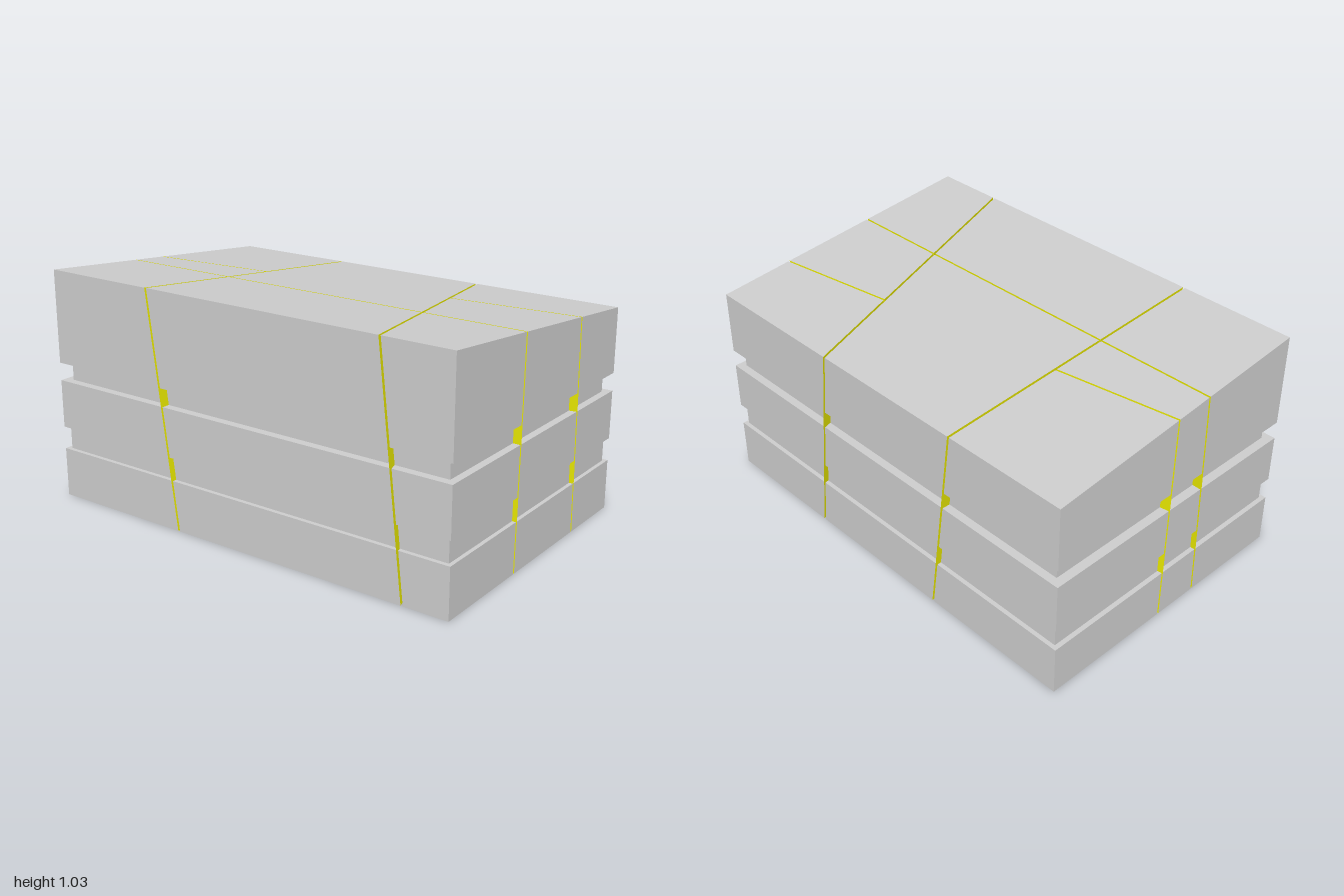
import * as THREE from 'three';

const GAP = 0.005; // half width of a crack

// Bounding planes: x as a function of (y, z), or z as a function of (x, y).
// An outer plane moves inward by the groove depth; a crack plane does not.
const outer = (pos, sideDepth) => ({ outer: true, at: (a, b, cut) => pos - Math.sign(pos) * cut * sideDepth });
const crack = (fn, gap = GAP) => [
  { outer: false, at: (a, b) => fn(a, b) - gap },
  { outer: false, at: (a, b) => fn(a, b) + gap },
];

const leftWall = outer(-1, 1.1), rightWall = outer(1, 0.9);
const frontWall = outer(0.648, 1), backWall = outer(-0.648, 1);
const crackA = crack((y, z) => -0.33 - 0.13 * y - 0.0177 * (z - 0.65));
const crackB = crack((y, z) => 0.795 - 0.11 * y + 0.292 * (z - 0.65));
const crackC = crack((x, y) => 0.171 - 0.02 * y - 0.006 * x, 0.004);
const crackD = crack((x, y) => -0.182 + 0.02 * y - 0.145 * x, 0.004);

// Outline levels from bottom to top: [height, groove depth]
const slope = (z) => 0.971 + 0.098 * z;
const levels = [
  [() => 0, 0],
  [() => 0.222, 0], [() => 0.222, 0.019], [() => 0.324, 0.019], [() => 0.324, 0],
  [() => 0.54, 0], [() => 0.54, 0.036], [() => 0.62, 0.036], [() => 0.62, 0],
  [slope, 0],
];

// Where an x plane, a z plane and a height meet
function corner(px, pz, height, cut) {
  let x = 0, y = 0, z = 0;
  for (let i = 0; i < 12; i++) {
    x = px.at(y, z, cut);
    z = pz.at(x, y, cut);
    y = height(z);
  }
  return [x, y, z];
}

function quadMesh(quads, material, name) {
  const pos = [];
  for (const [a, b, c, d] of quads) pos.push(...a, ...b, ...c, ...a, ...c, ...d);
  const geo = new THREE.BufferGeometry();
  geo.setAttribute('position', new THREE.Float32BufferAttribute(pos, 3));
  geo.computeVertexNormals();
  const mesh = new THREE.Mesh(geo, material);
  mesh.name = name;
  return mesh;
}

// One fragment: grooved outer skin, flat crack faces that span the grooves
function fragment(name, xl, xh, zl, zh, skinMat, crackMat) {
  const sides = [xl, zh, xh, zl];
  const rings = levels.map(([h, cut]) =>
    [[xl, zl], [xl, zh], [xh, zh], [xh, zl]].map(([px, pz]) => corner(px, pz, h, cut)));
  const bottom = rings[0], top = rings[rings.length - 1];
  const skin = [[...top], [...bottom].reverse()];
  const inner = [];
  sides.forEach((side, i) => {
    const j = (i + 1) % 4;
    if (!side.outer) {
      inner.push([bottom[i], bottom[j], top[j], top[i]]);
      return;
    }
    for (let k = 0; k < rings.length - 1; k++) {
      const lo = rings[k], hi = rings[k + 1];
      skin.push([lo[i], lo[j], hi[j], hi[i]]);
    }
  });
  const group = new THREE.Group();
  group.name = name;
  group.add(quadMesh(skin, skinMat, name + 'Skin'), quadMesh(inner, crackMat, name + 'CrackFaces'));
  return group;
}

export function createModel() {
  const model = new THREE.Group();
  model.name = 'crackedBlock';
  const skinMat = new THREE.MeshStandardMaterial({ color: 0xcccccc, flatShading: true });
  const crackMat = new THREE.MeshStandardMaterial({ color: 0xe6e600, flatShading: true });

  // Columns across x; the outer two have a second cross crack
  const columns = [
    ['right', leftWall, crackA[0], true],
    ['centre', crackA[1], crackB[0], false],
    ['left', crackB[1], rightWall, true],
  ];
  for (const [name, xl, xh, split] of columns) {
    const rows = [['Front', crackC[1], frontWall]];
    if (split) rows.push(['Middle', crackD[1], crackC[0]], ['Back', backWall, crackD[0]]);
    else rows.push(['Back', backWall, crackC[0]]);
    for (const [row, zl, zh] of rows) model.add(fragment(name + row + 'Fragment', xl, xh, zl, zh, skinMat, crackMat));
  }
  return model;
}
